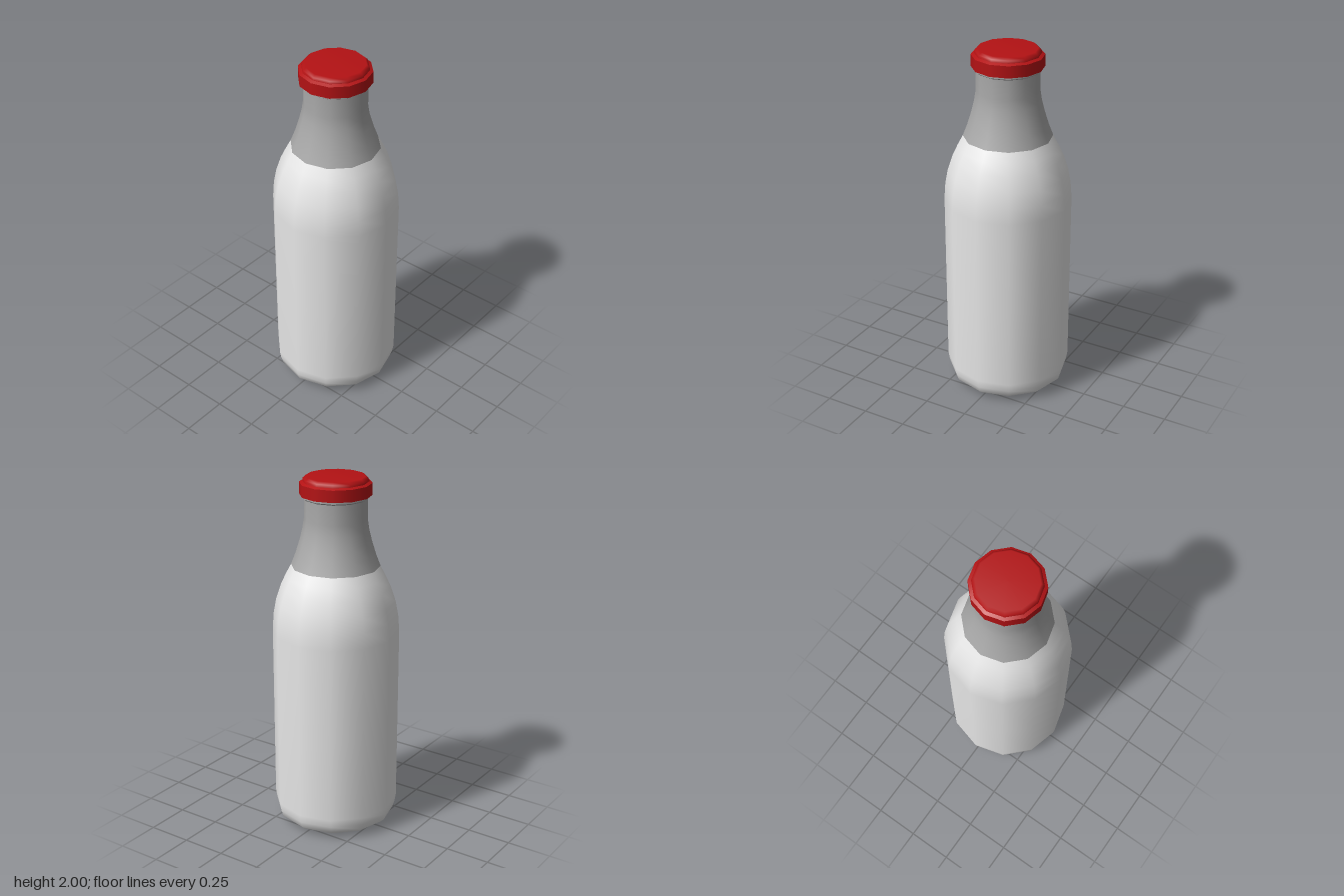
import * as THREE from 'three';

const SIDES = 12;

const milkWhite = new THREE.MeshStandardMaterial({ color: 0xf0f0f0 });
const glassGrey = new THREE.MeshStandardMaterial({ color: 0xa8a8a8 });
const capRed = new THREE.MeshStandardMaterial({ color: 0xb41214 });

// Revolves each [radius, height] strip; separate strips meet in a sharp edge.
function turned(name, material, ...strips) {
  const part = new THREE.Group();
  part.name = name;
  strips.forEach((strip, i) => {
    const points = strip.map(([r, y]) => new THREE.Vector2(r, y));
    const mesh = new THREE.Mesh(new THREE.LatheGeometry(points, SIDES), material);
    mesh.name = `${name}Surface${i + 1}`;
    part.add(mesh);
  });
  return part;
}

export function createModel() {
  const bottle = new THREE.Group();
  bottle.name = 'milkBottle';

  // Base and milk-filled body, up to the fill line
  bottle.add(turned('milkBody', milkWhite,
    [[0, 0], [0.2, 0], [0.31, 0.03]],
    [[0.31, 0.03], [0.332, 0.05], [0.343, 0.085], [0.35, 0.13], [0.35, 0.6], [0.35, 1.14],
      [0.343, 1.23], [0.328, 1.31], [0.3, 1.395], [0.272, 1.455], [0.243, 1.51]]));

  // Empty glass neck above the milk
  bottle.add(turned('glassNeck', glassGrey,
    [[0.243, 1.51], [0.218, 1.575], [0.195, 1.65], [0.18, 1.71], [0.171, 1.77], [0.17, 1.88]]));

  // Thin lip under the cap
  bottle.add(turned('glassLip', glassGrey,
    [[0.17, 1.88], [0.182, 1.888]],
    [[0.182, 1.888], [0.182, 1.905]]));

  // Cap: underside, skirt, stepped rim and rounded top
  bottle.add(turned('cap', capRed,
    [[0.17, 1.9], [0.195, 1.9]],
    [[0.195, 1.9], [0.195, 1.965]],
    [[0.195, 1.965], [0.178, 1.973]],
    [[0.178, 1.973], [0.175, 1.987], [0.16, 2], [0, 2]]));

  return bottle;
}
